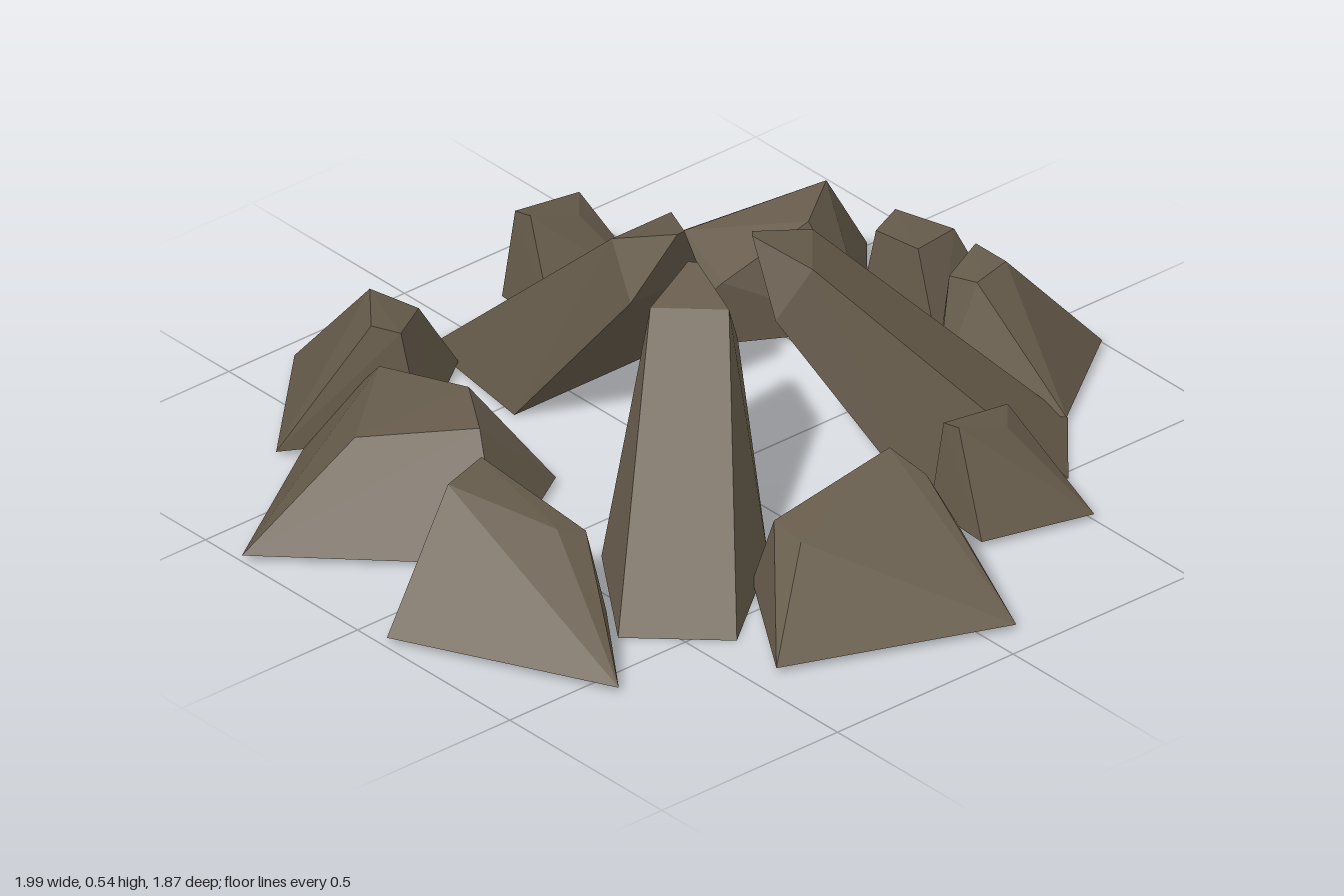
import * as THREE from 'three';
import { ConvexGeometry } from 'three/addons/geometries/ConvexGeometry.js';

export function createModel() {
  const group = new THREE.Group();
  const stone = new THREE.MeshStandardMaterial({ color: 0x665b4b, side: THREE.DoubleSide });
  stone.name = 'brownStone';

  // A faceted stone wrapped around its corners, left open where it meets the ground
  const addStone = (name, points) => {
    const hull = new ConvexGeometry(points).getAttribute('position').array;
    const kept = [];
    for (let i = 0; i < hull.length; i += 9) {
      if (Math.max(hull[i + 1], hull[i + 4], hull[i + 7]) > 0.02) kept.push(...hull.slice(i, i + 9));
    }
    const geometry = new THREE.BufferGeometry();
    geometry.setAttribute('position', new THREE.Float32BufferAttribute(kept, 3));
    geometry.computeVertexNormals();
    const mesh = new THREE.Mesh(geometry, stone);
    mesh.name = name;
    group.add(mesh);
    return mesh;
  };

  // Leaning slab from mirrored corner pairs: along the lean, height, half width
  const addSlab = (name, x, z, angle) => {
    const pairs = [[0, 0, 0.128], [0.34, 0, 0.18], [0.55, 0.5, 0.085], [0.68, 0.54, 0.01], [0.63, 0.38, 0.1]];
    const points = pairs.flatMap(([along, y, half]) =>
      [-half, half].map((side) => new THREE.Vector3(side, y, along)));
    const mesh = addStone(name, points);
    mesh.position.set(x, 0, z);
    mesh.rotation.y = angle;
  };
  addSlab('backSlab', 0.025, -0.8, 0);
  addSlab('rightSlab', -0.505, 0.48, 2.38);
  addSlab('leftSlab', 0.655, 0.425, -2.28);

  // Boulder: ground corners (x, z pairs) below an uneven top (x, y, z corners)
  const addBoulder = (name, foot, top) => {
    const points = top.map((p) => new THREE.Vector3(...p));
    for (let i = 0; i < foot.length; i += 2) points.push(new THREE.Vector3(foot[i], 0.015, foot[i + 1]));
    return addStone(name, points);
  };

  // Ring of large boulders
  addBoulder('frontBoulder', [-0.44, 0.73, 0.07, 0.93, 0.25, 0.53, -0.24, 0.42],
    [[-0.24, 0.185, 0.58], [0.1, 0.23, 0.6], [0.06, 0.28, 0.525], [-0.23, 0.19, 0.48]]);
  addBoulder('leftBoulder', [0.55, 0.11, 0.7, -0.05, 0.99, 0.15, 0.72, 0.345],
    [[0.66, 0.275, 0.12], [0.76, 0.28, 0.1], [0.76, 0.28, 0], [0.65, 0.26, 0.04]]);
  addBoulder('backLeftBoulder', [0.21, -0.46, 0.51, -0.8, 0.875, -0.49, 0.64, -0.215],
    [[0.4, 0.21, -0.54], [0.69, 0.28, -0.41], [0.57, 0.26, -0.33], [0.36, 0.17, -0.37]]);
  addBoulder('backRightBoulder', [-0.66, -0.66, -0.365, -0.94, -0.115, -0.69, -0.38, -0.5],
    [[-0.35, 0.28, -0.71], [-0.45, 0.28, -0.59], [-0.4, 0.26, -0.55], [-0.28, 0.24, -0.63]]);
  addBoulder('rightBackBoulder', [-1, -0.38, -0.5, -0.7, -0.275, -0.185, -0.605, 0.015],
    [[-0.7, 0.205, -0.355], [-0.505, 0.235, -0.17], [-0.415, 0.24, -0.31], [-0.47, 0.21, -0.54]]);
  addBoulder('rightBoulder', [-0.99, 0.085, -0.75, 0.57, -0.56, 0.31, -0.69, -0.12],
    [[-0.76, 0.28, 0.02], [-0.63, 0.28, -0.02], [-0.575, 0.2, 0.26], [-0.64, 0.22, 0.24]]);

  // Small stones filling the gaps
  addBoulder('leftStone', [0.66, 0, 0.905, -0.075, 0.83, -0.41, 0.68, -0.29],
    [[0.7, 0.235, -0.12], [0.82, 0.23, -0.14], [0.8, 0.21, -0.31], [0.71, 0.21, -0.27]]);
  for (const [name, x, z] of [['frontLeftStone', 0, 0], ['backStone', -0.115, -1.275]]) {
    const mesh = addBoulder(name, [0.25, 0.44, 0.51, 0.42, 0.5, 0.69, 0.24, 0.62],
      [[0.27, 0.24, 0.51], [0.4, 0.195, 0.52], [0.47, 0.19, 0.44], [0.27, 0.23, 0.46]]);
    mesh.position.set(x, 0, z);
  }

  return group;
}
